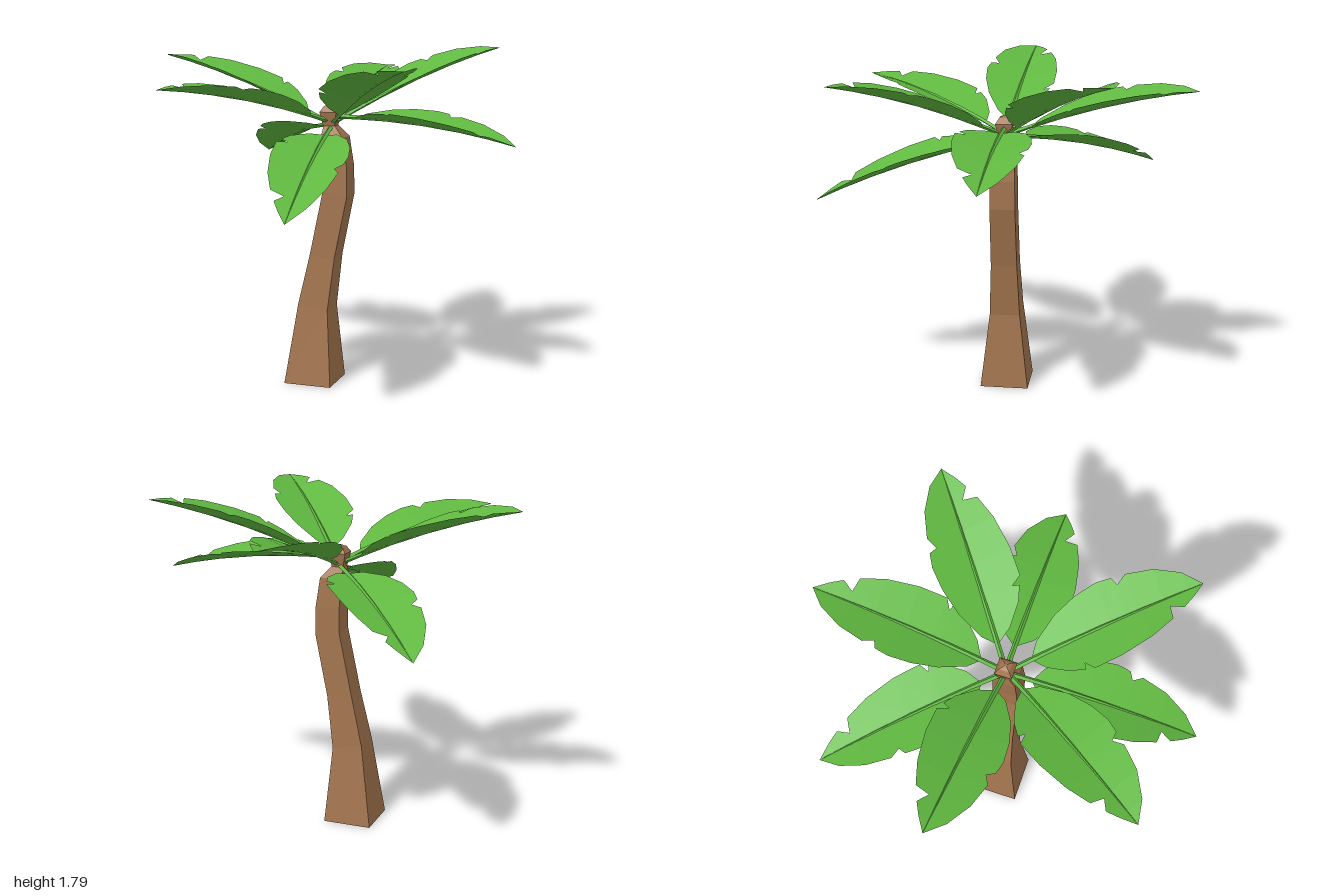
import * as THREE from 'three';

const bark = new THREE.MeshStandardMaterial({ color: 0xa3754f, flatShading: true });
const green = new THREE.MeshStandardMaterial({ color: 0x60b840, flatShading: true, side: THREE.DoubleSide });

function buildGeometry(triangles) {
  const geo = new THREE.BufferGeometry().setFromPoints(triangles);
  geo.computeVertexNormals();
  return geo;
}

// Joins rings of equal size, listed from start to end, and caps both ends
function loft(rings) {
  const tris = [];
  const n = rings[0].length;
  for (let i = 0; i < rings.length - 1; i++) {
    for (let j = 0; j < n; j++) {
      const k = (j + 1) % n;
      const [a, b, c, d] = [rings[i][j], rings[i][k], rings[i + 1][k], rings[i + 1][j]];
      tris.push(a, b, c, a, c, d);
    }
  }
  const end = rings[rings.length - 1];
  for (let j = 1; j < n - 1; j++) {
    tris.push(rings[0][0], rings[0][j + 1], rings[0][j]);
    tris.push(end[0], end[j], end[j + 1]);
  }
  return buildGeometry(tris);
}

// Square section: height, centre x, half width, tilt of the section
function square([y, cx, h, tilt = 0]) {
  return [[-1, 1], [1, 1], [1, -1], [-1, -1]].map(
    ([sx, sz]) => new THREE.Vector3(cx + sx * h, y + tilt * sx, sz * h));
}

// Leaf outline on each side of the midrib: distance along, half width
const leftEdge = [[.13, 0], [.18, .07], [.3, .145], [.42, .185], [.53, .2], [.6, .19], [.62, .15],
  [.67, .18], [.8, .15], [.92, .085], [1, 0]];
const rightEdge = [[.13, 0], [.18, .08], [.27, .155], [.34, .185], [.35, .15], [.38, .2], [.52, .195],
  [.68, .165], [.8, .12], [.815, .05], [.87, .085], [.93, .05], [1, 0]];

// Leaf tips x, y, z and the height where each stalk starts
const leaves = [
  [.02, 1.66, -1, 1.4], [.77, 1.79, -.6, 1.4], [.98, 1.32, 0, 1.44], [.61, 1.74, .79, 1.4],
  [.11, 1.05, 1, 1.39], [-.6, 1.63, .84, 1.41], [-.98, 1.75, -.06, 1.4], [-.66, 1.15, -.77, 1.4],
];

function makeLeaf([tx, ty, tz, y0]) {
  const leaf = new THREE.Group();
  leaf.name = 'leaf';
  const len = Math.hypot(tx, tz);
  // Arched midrib with the blade folded up on both sides; +v is the right side
  const at = (u, v, lift = 0) => new THREE.Vector3(
    tx * u - (tz / len) * v,
    y0 + (ty - y0) * u + .14 * u * (1 - u) + .3 * Math.abs(v) + lift,
    tz * u + (tx / len) * v);

  const tris = [];
  for (const [edge, side] of [[leftEdge, -1], [rightEdge, 1]]) {
    for (let i = 0; i < edge.length - 1; i++) {
      const [u0, w0] = edge[i];
      const [u1, w1] = edge[i + 1];
      const a = at(u0, 0), b = at(u1, 0), c = at(u1, side * w1), d = at(u0, side * w0);
      const quad = [];
      if (w1 > 0) quad.push([a, b, c]);
      if (w0 > 0) quad.push(w1 > 0 ? [a, c, d] : [a, b, d]);
      for (const [p, q, r] of quad) tris.push(...(side > 0 ? [p, r, q] : [p, q, r]));
    }
  }
  const blade = new THREE.Mesh(buildGeometry(tris), green);
  blade.name = 'leafBlade';

  // Tapered three-sided stalk running out along the midrib
  const rings = [.03, .13, .3, .5, .7, .85, .99].map((u) => {
    const w = .014 * (1 - u) + .001;
    return [at(u, -w), at(u, 0, -w * .5), at(u, w), at(u, 0, w * 1.2)];
  });
  const stalk = new THREE.Mesh(loft(rings), green);
  stalk.name = 'leafStalk';
  leaf.add(blade, stalk);
  return leaf;
}

export function createModel() {
  const palm = new THREE.Group();
  palm.name = 'palmTree';

  // Bent, tapering square trunk
  const trunk = new THREE.Mesh(loft([
    [0, -.097, .13], [.425, -.08, .082, -.015], [.7, -.032, .07],
    [1.04, .038, .067, -.01], [1.18, .038, .066], [1.34, .02, .06], [1.4, -.005, .03],
  ].map(square)), bark);
  trunk.name = 'trunk';

  // Small bud at the crown
  const bud = new THREE.Mesh(loft([
    [1.38, -.005, .028], [1.47, -.007, .046], [1.5, -.007, .027], [1.512, -.007, .004],
  ].map(square)), bark);
  bud.name = 'crownBud';

  palm.add(trunk, bud, ...leaves.map(makeLeaf));
  return palm;
}
